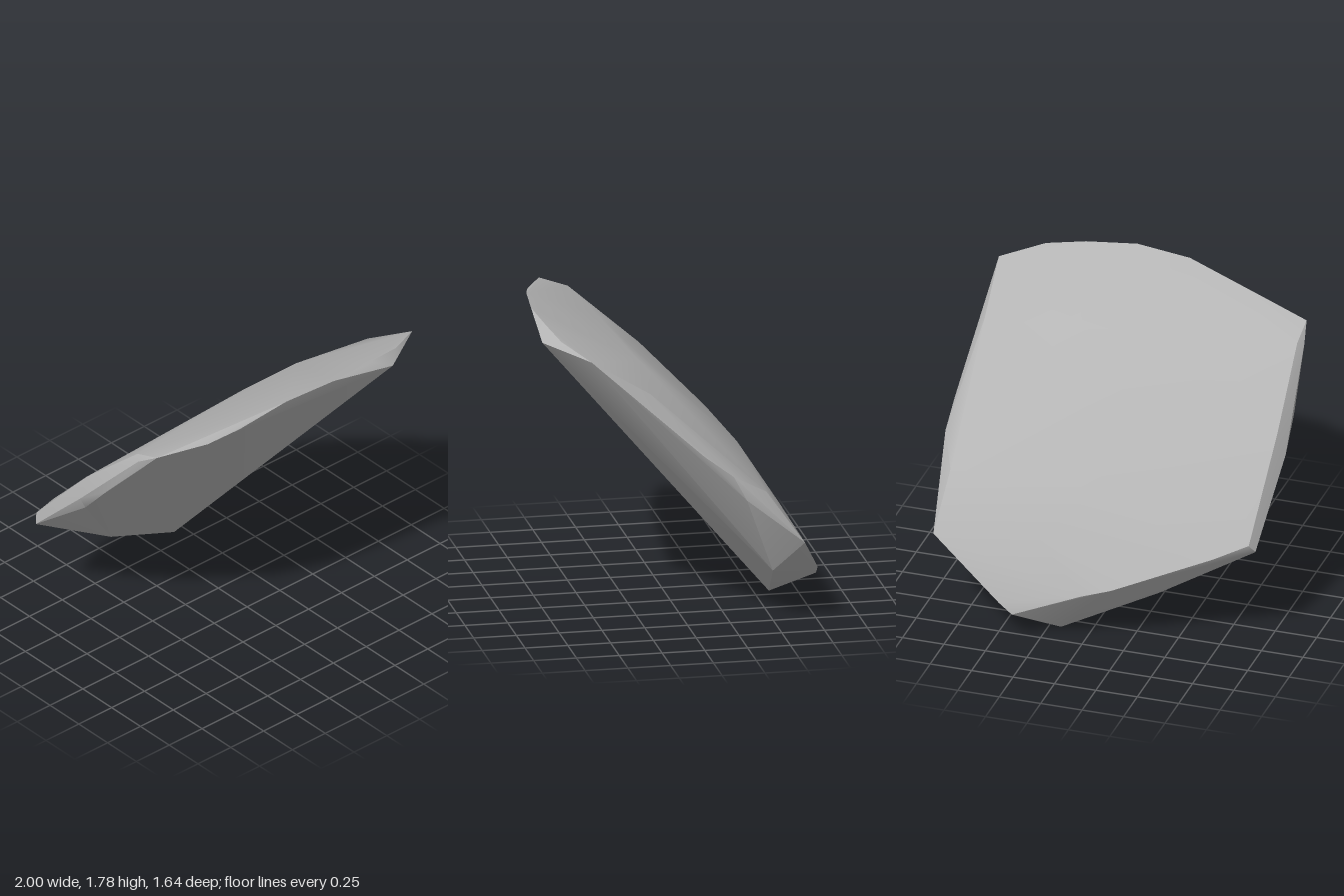
import * as THREE from 'three';
import { ConvexGeometry } from 'three/addons/geometries/ConvexGeometry.js';
import { toCreasedNormals } from 'three/addons/utils/BufferGeometryUtils.js';

// Underside corners of the leaning slab, counter-clockwise from the foot
const underside = [
  [0.18, 0, -0.59], [0.79, 0.31, -0.49], [0.99, 0.8, -0.3], [1, 1.08, -0.05],
  [0.95, 1.67, 0.6], [0.61, 1.7, 0.82], [0.18, 1.78, 0.8], [-0.45, 1.68, 0.7],
  [-0.65, 1.64, 0.65], [-0.93, 1.61, 0.53], [-0.98, 1.2, 0.15],
  [-0.96, 0.97, -0.06], [-0.96, 0.63, -0.49], [-0.38, 0.27, -0.5],
];

// Rim of the upper, rear surface
const upperRim = [
  [0.4, 0.16, -0.82], [0.48, 0.22, -0.815], [0.93, 0.51, -0.65], [1, 0.95, -0.22],
  [0.92, 1.45, 0.25], [0.71, 1.73, 0.73], [0.48, 1.76, 0.77], [-0.15, 1.765, 0.76],
  [-0.96, 1.53, 0.4], [-0.93, 1.55, 0.36], [-1, 1.05, -0.06], [-0.95, 1.18, -0.06],
  [-0.93, 0.68, -0.52], [-0.74, 0.6, -0.6], [-0.17, 0.37, -0.74], [0, 0.32, -0.77],
];

// Gentle bulge across the upper surface
const upperBulge = [
  [0.9, 0.82, -0.43], [0, 0.85, -0.44], [-0.88, 0.8, -0.43],
  [0, 1.5, 0.22], [0.4, 1.5, 0.22], [-0.4, 1.54, 0.3], [0.3, 0.57, -0.62],
];

export function createModel() {
  const group = new THREE.Group();
  group.name = 'leaningRock';

  const stone = new THREE.MeshStandardMaterial({ color: 0xb4b4b4 });
  stone.name = 'grey stone';

  // Convex stone slab, smooth over its broad faces and sharp at the rim
  const points = [...underside, ...upperRim, ...upperBulge].map((p) => new THREE.Vector3(...p));
  const slab = new THREE.Mesh(toCreasedNormals(new ConvexGeometry(points), 0.55), stone);
  slab.name = 'stoneSlab';
  group.add(slab);
  return group;
}
